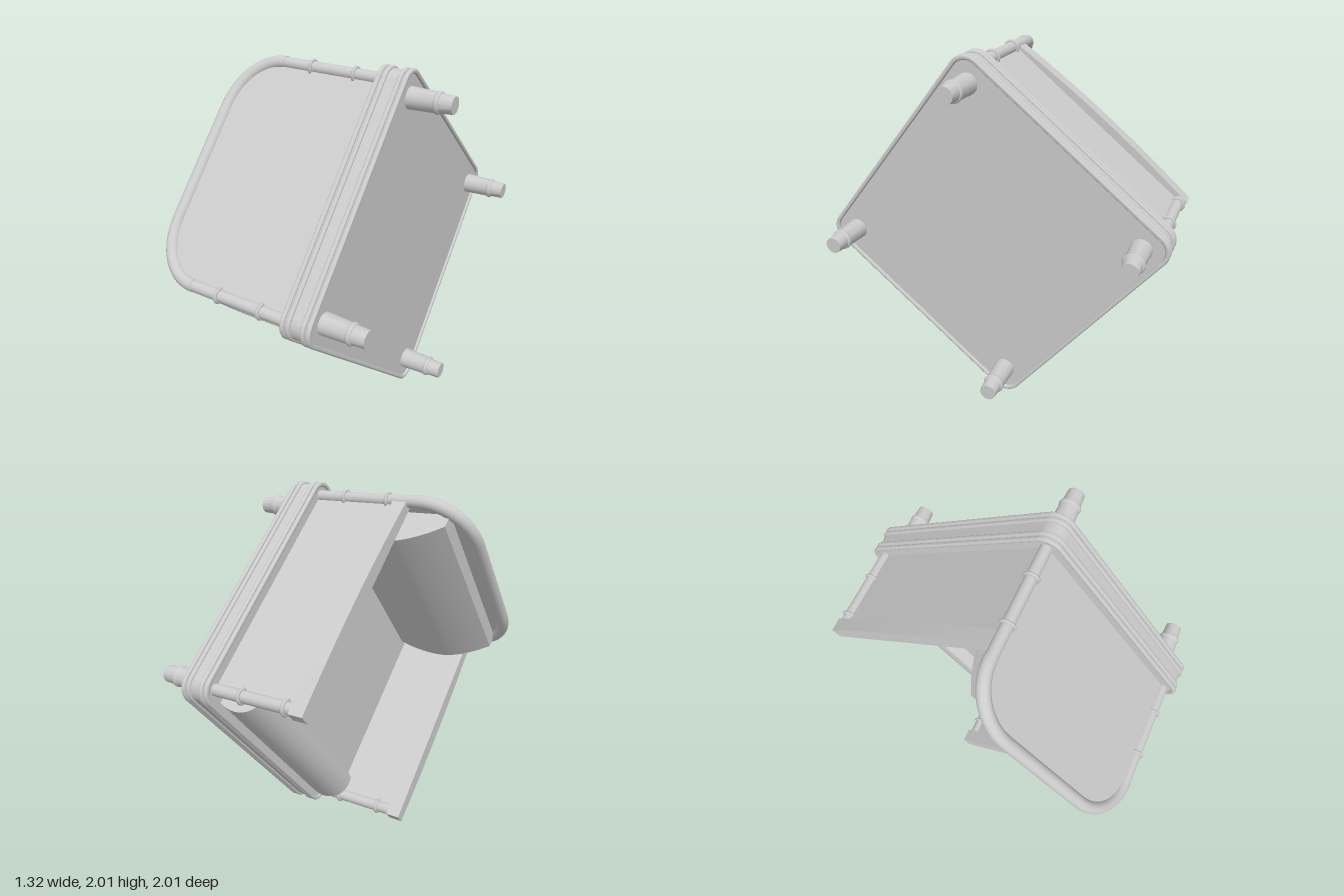
import * as THREE from 'three';
import { toCreasedNormals } from 'three/addons/utils/BufferGeometryUtils.js';

const mat = new THREE.MeshStandardMaterial({ color: 0xcccccc, side: THREE.DoubleSide });
const V = (x, y, z) => new THREE.Vector3(x, y, z);

function add(parent, name, geo, x = 0, y = 0, z = 0) {
  const m = new THREE.Mesh(geo, mat);
  m.name = name;
  m.position.set(x, y, z);
  parent.add(m);
  return m;
}

// Draws a square of half-width h with corner radius r
function roundedSquare(path, h, r) {
  const c = h - r;
  path.absarc(c, c, r, 0, Math.PI / 2);
  path.absarc(-c, c, r, Math.PI / 2, Math.PI);
  path.absarc(-c, -c, r, Math.PI, Math.PI * 1.5);
  path.absarc(c, -c, r, Math.PI * 1.5, Math.PI * 2);
  return path;
}

// Horizontal plate from an outline, centred on its own height
function plate(shape, depth, bevel) {
  const g = new THREE.ExtrudeGeometry(shape, {
    depth, curveSegments: 10, bevelEnabled: bevel > 0, bevelThickness: bevel,
    bevelSize: bevel, bevelOffset: -bevel, bevelSegments: 4,
  });
  g.translate(0, 0, -depth / 2).rotateX(-Math.PI / 2);
  return toCreasedNormals(g, 0.7);
}

// Side profile (depth, height) swept across the width
function sweep(shape, width) {
  const g = new THREE.ExtrudeGeometry(shape, { depth: width, bevelEnabled: false, curveSegments: 16 });
  g.translate(0, 0, -width / 2).rotateY(-Math.PI / 2);
  return toCreasedNormals(g, 0.6);
}

// Straight round rail with two collars
function rail(parent, name, x, z, y0, y1) {
  const g = new THREE.Group();
  g.name = name;
  g.position.set(x, 0, z);
  add(g, 'railTube', new THREE.CylinderGeometry(0.033, 0.033, y1 - y0, 24), 0, (y0 + y1) / 2, 0);
  for (const y of [0.25, 0.52])
    add(g, 'railCollar', new THREE.TorusGeometry(0.036, 0.01, 8, 24).rotateX(Math.PI / 2), 0, y, 0);
  parent.add(g);
}

export function createModel() {
  const chair = new THREE.Group();
  chair.name = 'armchair';

  // Base with piping round its upper and lower edges
  add(chair, 'baseBody', plate(roundedSquare(new THREE.Shape(), 0.727, 0.09), 0.15, 0));
  const piping = roundedSquare(new THREE.Shape(), 0.74, 0.1);
  piping.holes.push(roundedSquare(new THREE.Path(), 0.715, 0.08));
  const pipingGeo = plate(piping, 0.004, 0.011);
  for (const y of [0.073, 0.04, -0.045, -0.077])
    add(chair, 'basePiping', pipingGeo, 0, y, 0);

  // Turned legs
  const legProfile = [[0, -0.322], [0.046, -0.322], [0.05, -0.25], [0.057, -0.246], [0.06, -0.236],
    [0.057, -0.226], [0.054, -0.222], [0.06, -0.06]].map(p => new THREE.Vector2(...p));
  const legGeo = toCreasedNormals(new THREE.LatheGeometry(legProfile, 28), 0.6);
  for (const sx of [-1, 1]) for (const sz of [-1, 1])
    add(chair, 'leg', legGeo, sx * 0.605, 0, sz * 0.605);

  // Seat with a bulging roll along its front
  const seatY = 0.25;
  add(chair, 'seat', new THREE.BoxGeometry(1.26, seatY - 0.05, 1.18), 0, (seatY + 0.05) / 2, 0.05);
  const roll = new THREE.Shape();
  roll.moveTo(-0.5, 0.05);
  roll.lineTo(-0.5, seatY);
  roll.lineTo(-0.55, 0.31);
  roll.bezierCurveTo(-0.69, 0.34, -0.76, 0.2, -0.67, 0.05);
  add(chair, 'seatFrontRoll', sweep(roll, 1.16));

  // Bulging back cushion with a pointed upper lip
  const back = new THREE.Shape();
  back.moveTo(0.64, 0.2);
  back.lineTo(0.5, 0.2);
  back.bezierCurveTo(0.44, 0.35, 0.42, 0.52, 0.44, 0.62);
  back.quadraticCurveTo(0.47, 0.74, 0.56, 0.865);
  back.lineTo(0.64, 0.87);
  add(chair, 'backCushion', sweep(back, 1.17));

  // Flat back panel inside the bent frame
  const px = 0.66, pz = 0.65, bend = 0.7, top = 0.965, flat = 0.34;
  const panel = new THREE.Shape();
  panel.moveTo(-px, 0.06);
  panel.lineTo(px, 0.06);
  panel.lineTo(px, bend);
  panel.bezierCurveTo(px, 0.85, 0.52, top, flat, top);
  panel.lineTo(-flat, top);
  panel.bezierCurveTo(-0.52, top, -px, 0.85, -px, bend);
  add(chair, 'backPanel', new THREE.ExtrudeGeometry(panel,
    { depth: 0.02, bevelEnabled: false, curveSegments: 20 }), 0, 0, pz - 0.01);

  // Bent tube over the top of the back
  const path = new THREE.CurvePath();
  path.add(new THREE.CubicBezierCurve3(V(-px, bend, pz), V(-px, 0.85, pz), V(-0.52, top, pz), V(-flat, top, pz)));
  path.add(new THREE.LineCurve3(V(-flat, top, pz), V(flat, top, pz)));
  path.add(new THREE.CubicBezierCurve3(V(flat, top, pz), V(0.52, top, pz), V(px, 0.85, pz), V(px, bend, pz)));
  add(chair, 'backTopTube', new THREE.TubeGeometry(path, 80, 0.036, 20, false));
  for (const sx of [-1, 1])
    add(chair, 'tubeEnd', new THREE.CylinderGeometry(0.036, 0.036, 0.01, 20), sx * px, bend, pz);

  // Arms: rails, side panel and a bowed top lip
  for (const sx of [-1, 1]) {
    const armTop = sx > 0 ? 0.645 : 0.69;
    rail(chair, 'backRail', sx * px, pz, 0.05, bend);
    rail(chair, 'frontRail', sx * px, -pz, 0.05, armTop - 0.04);
    add(chair, 'armPanel', new THREE.BoxGeometry(0.02, armTop - 0.1, 2 * pz),
      sx * 0.655, (armTop - 0.1) / 2 + 0.05, 0);
    const lip = new THREE.Shape();
    lip.moveTo(0.625, -0.69);
    lip.lineTo(0.69, -0.69);
    lip.quadraticCurveTo(0.735, 0, 0.68, 0.66);
    lip.lineTo(0.625, 0.66);
    const g = new THREE.ExtrudeGeometry(lip, { depth: 0.082, bevelEnabled: false, curveSegments: 20 });
    // Lay the plan outline flat, its length running front to back
    g.rotateX(Math.PI / 2);
    if (sx < 0) g.rotateZ(Math.PI).translate(0, -0.082, 0);
    add(chair, 'armLip', toCreasedNormals(g, 0.5), 0, armTop, 0);
  }

  // Lay the chair over on its underside edge
  const t = 0.055, a = 0.6337, b = 0.7736;
  const W = V(0, b, -a);
  const B = V(Math.sin(t), a * Math.cos(t), b * Math.cos(t));
  const U = B.clone().cross(W);
  const m = new THREE.Matrix4().makeBasis(W, U, B).setPosition(0.305, 1, 0);
  chair.applyMatrix4(m);

  const model = new THREE.Group();
  model.name = 'model';
  model.add(chair);
  return model;
}
